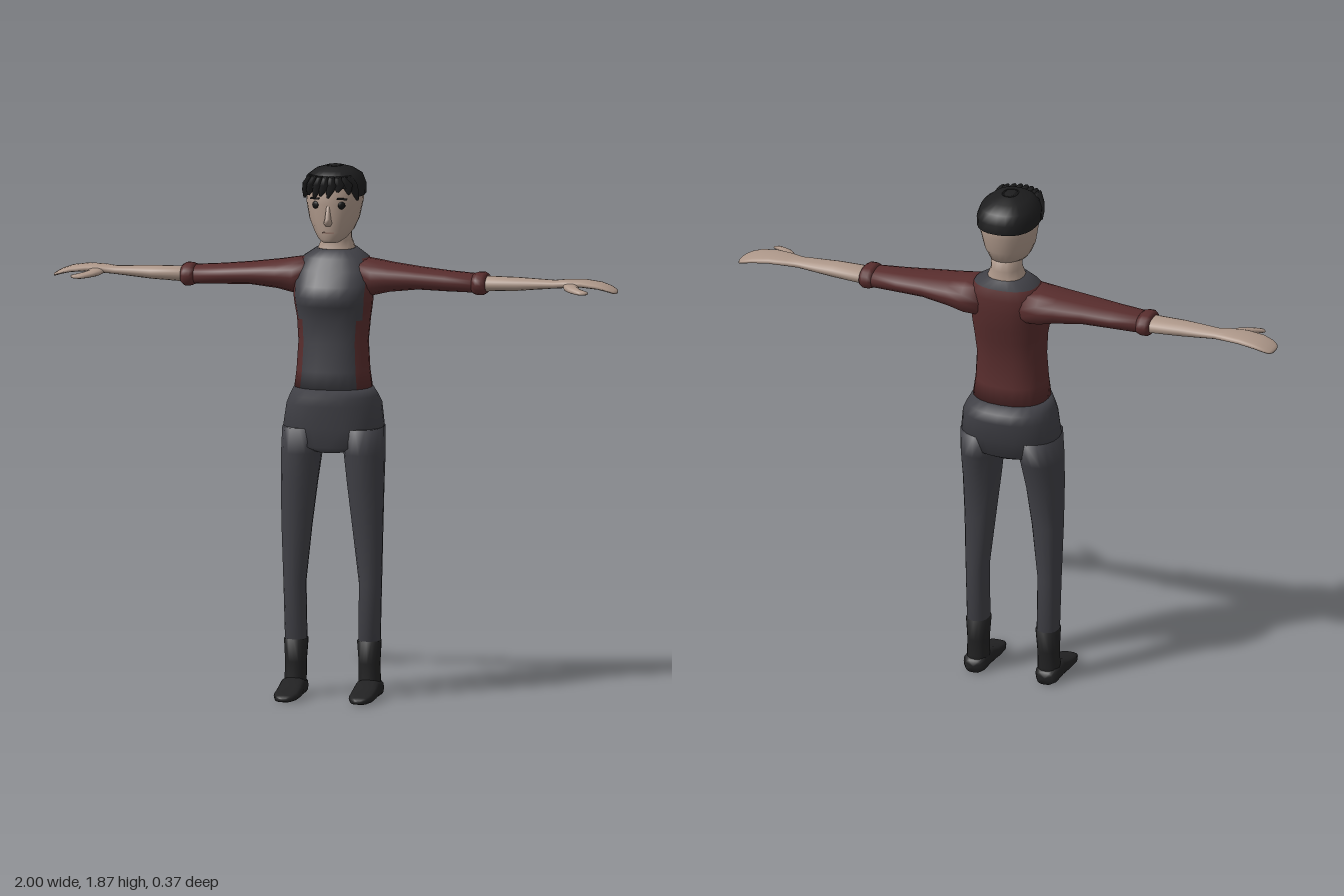
import * as THREE from 'three';

const mat = (name, color, side = THREE.FrontSide) => {
  const m = new THREE.MeshStandardMaterial({ color, side });
  m.name = name;
  return m;
};

// One closed ring across axis k (0 x, 1 y, 2 z); a and b are the ranges on the next two axes.
function ring(k, [t, a0, a1, b0, b1], n, p) {
  const pts = [];
  const pw = (v) => Math.sign(v) * Math.pow(Math.abs(v), p);
  for (let j = 0; j < n; j++) {
    const ang = (j / n) * Math.PI * 2;
    const v = [0, 0, 0];
    v[k] = t;
    v[(k + 1) % 3] = (a0 + a1) / 2 + pw(Math.cos(ang)) * (a1 - a0) / 2;
    v[(k + 2) % 3] = (b0 + b1) / 2 + pw(Math.sin(ang)) * (b1 - b0) / 2;
    pts.push(v);
  }
  return pts;
}

// Skin over a stack of rings; pick(row, angle) gives a material index, or -1 for a gap.
function loft(k, rows, { n = 16, p = 0.85, caps = true, pick = () => 0 } = {}) {
  const rings = rows.map((r) => ring(k, r, n, p));
  const pos = rings.flat(2);
  const faces = [[], []];
  for (let i = 0; i < rows.length - 1; i++) {
    for (let j = 0; j < n; j++) {
      const m = pick(i, Math.min(j + 0.5, n - j - 0.5) * 360 / n);
      if (m < 0) continue;
      const a = i * n + j, b = i * n + (j + 1) % n;
      faces[m].push(a, b, b + n, a, b + n, a + n);
    }
  }
  if (caps) {
    for (const end of [0, rows.length - 1]) {
      const c = [0, 1, 2].map((d) => rings[end].reduce((s, v) => s + v[d], 0) / n);
      const ci = pos.length / 3;
      pos.push(...c);
      for (let j = 0; j < n; j++) {
        const a = end * n + j, b = end * n + (j + 1) % n;
        faces[0].push(...(end === 0 ? [ci, b, a] : [ci, a, b]));
      }
    }
  }
  const g = new THREE.BufferGeometry();
  g.setAttribute('position', new THREE.Float32BufferAttribute(pos, 3));
  g.setIndex([...faces[0], ...faces[1]]);
  if (faces[1].length) {
    g.addGroup(0, faces[0].length, 0);
    g.addGroup(faces[0].length, faces[1].length, 1);
  }
  g.computeVertexNormals();
  return g;
}

// Mirrored copy across x = 0 with the winding restored.
function mirrored(g) {
  const m = g.clone();
  m.scale(-1, 1, 1);
  const ix = m.index.array;
  for (let i = 0; i < ix.length; i += 3) [ix[i], ix[i + 1]] = [ix[i + 1], ix[i]];
  m.computeVertexNormals();
  return m;
}

export function createModel() {
  const group = new THREE.Group();
  group.name = 'figure';
  const skin = mat('skin', 0xae988a);
  const lip = mat('lip', 0x8c7064);
  const cloth = mat('charcoalCloth', 0x404046);
  const maroon = mat('maroonCloth', 0x582d2d);
  const boot = mat('bootBlack', 0x222223);
  const hair = mat('hairBlack', 0x1d1d1e, THREE.DoubleSide);
  const dark = mat('eyeBlack', 0x121212);

  const add = (name, g, m) => {
    const mesh = new THREE.Mesh(g, m);
    mesh.name = name;
    group.add(mesh);
    return mesh;
  };
  const pair = (name, g, m) => {
    add(name + 'Left', g, m);
    add(name + 'Right', mirrored(g), m);
  };
  const sym = (rows) => rows.map(([y, zb, zf, w]) => [y, zb, zf, -w, w]);

  // Top: charcoal front panel and collar, maroon sides and back
  add('torso', loft(1, sym([
    [1.08, -0.145, 0.088, 0.137], [1.15, -0.132, 0.08, 0.128], [1.25, -0.13, 0.072, 0.122],
    [1.33, -0.145, 0.072, 0.128], [1.38, -0.157, 0.092, 0.135], [1.41, -0.162, 0.103, 0.138],
    [1.45, -0.168, 0.085, 0.14], [1.5, -0.17, 0.045, 0.138], [1.54, -0.163, 0.015, 0.115],
    [1.57, -0.15, -0.01, 0.07],
  ]), { n: 24, pick: (i, a) => (i > 7 || a < (i > 2 ? 60 : 45) ? 0 : 1) }), [cloth, maroon]);

  // Trousers
  add('hips', loft(1, sym([
    [0.865, -0.1, 0.06, 0.06], [0.885, -0.135, 0.08, 0.14], [0.95, -0.155, 0.085, 0.178],
    [1.03, -0.179, 0.095, 0.166], [1.06, -0.165, 0.092, 0.153], [1.09, -0.143, 0.088, 0.137],
  ]), { n: 24 }), cloth);
  pair('leg', loft(1, [
    [0.18, -0.062, 0.03, 0.092, 0.168], [0.4, -0.068, 0.04, 0.096, 0.173],
    [0.6, -0.07, 0.052, 0.073, 0.179], [0.75, -0.093, 0.068, 0.055, 0.181],
    [0.86, -0.126, 0.078, 0.042, 0.181], [0.95, -0.145, 0.08, 0.02, 0.178],
  ]), cloth);

  // Boots
  pair('bootShaft', loft(1, [
    [0.02, -0.056, 0.03, 0.094, 0.174], [0.06, -0.055, 0.028, 0.094, 0.17],
    [0.12, -0.058, 0.028, 0.094, 0.168], [0.2, -0.066, 0.034, 0.088, 0.172],
  ]), boot);
  pair('bootFoot', loft(2, [
    [-0.06, 0.105, 0.162, 0, 0.045], [-0.04, 0.092, 0.177, 0, 0.06], [0.03, 0.09, 0.177, 0, 0.065],
    [0.08, 0.088, 0.178, 0, 0.045], [0.14, 0.09, 0.177, 0, 0.032], [0.175, 0.103, 0.165, 0, 0.024],
    [0.187, 0.12, 0.15, 0.003, 0.016],
  ], { p: 0.65 }), boot);

  // Sleeves, cuffs, forearms and hands
  pair('sleeve', loft(0, [
    [0.07, 1.4, 1.545, -0.155, 0.02], [0.14, 1.408, 1.533, -0.164, 0.024],
    [0.2, 1.423, 1.523, -0.157, 0.022], [0.3, 1.435, 1.511, -0.14, 0.016],
    [0.4, 1.432, 1.502, -0.125, 0.007], [0.51, 1.43, 1.495, -0.113, -0.002],
  ]), maroon);
  pair('cuff', loft(0, [
    [0.495, 1.428, 1.497, -0.114, 0], [0.51, 1.422, 1.502, -0.119, 0.005],
    [0.53, 1.422, 1.502, -0.119, 0.005], [0.542, 1.43, 1.495, -0.112, -0.006],
  ]), maroon);
  pair('forearmAndHand', loft(0, [
    [0.53, 1.435, 1.488, -0.105, -0.014], [0.65, 1.441, 1.487, -0.1, -0.016],
    [0.78, 1.453, 1.481, -0.093, -0.027], [0.82, 1.456, 1.485, -0.104, -0.02],
    [0.88, 1.46, 1.486, -0.117, -0.014], [0.94, 1.455, 1.477, -0.122, -0.014],
    [0.975, 1.447, 1.464, -0.118, -0.018], [0.993, 1.441, 1.454, -0.108, -0.028],
    [1.0, 1.44, 1.449, -0.09, -0.045],
  ]), skin);
  pair('thumb', loft(2, [
    [-0.045, 0.81, 0.875, 1.455, 1.48], [0, 0.825, 0.873, 1.45, 1.474],
    [0.025, 0.845, 0.895, 1.448, 1.468], [0.042, 0.87, 0.922, 1.446, 1.463],
    [0.054, 0.888, 0.914, 1.448, 1.458],
  ], { n: 10 }), skin);

  // Neck and head
  add('neck', loft(1, sym([
    [1.54, -0.146, -0.008, 0.075], [1.575, -0.143, -0.016, 0.063],
    [1.6, -0.138, -0.022, 0.053], [1.66, -0.14, -0.02, 0.05],
  ])), skin);
  add('head', loft(1, sym([
    [1.603, -0.02, 0.052, 0.03], [1.615, -0.09, 0.062, 0.049], [1.64, -0.142, 0.064, 0.068],
    [1.68, -0.158, 0.066, 0.086], [1.74, -0.172, 0.067, 0.098], [1.79, -0.174, 0.065, 0.1],
    [1.83, -0.15, 0.045, 0.083], [1.85, -0.1, 0, 0.045],
  ]), { n: 24, p: 0.95 }), skin);

  // Face
  add('nose', loft(1, sym([
    [1.664, 0.045, 0.07, 0.01], [1.676, 0.045, 0.091, 0.015],
    [1.69, 0.045, 0.085, 0.011], [1.735, 0.045, 0.068, 0.007],
  ]), { n: 8 }), skin);
  add('mouth', new THREE.BoxGeometry(0.042, 0.005, 0.006).translate(0, 1.64, 0.061), lip);
  const eye = new THREE.SphereGeometry(0.013, 14, 10).scale(1, 1, 0.35).rotateY(0.4).translate(0.047, 1.737, 0.056);
  pair('eye', eye, dark);
  const brow = new THREE.BoxGeometry(0.036, 0.006, 0.008).rotateZ(-0.08).rotateY(0.4).translate(0.048, 1.76, 0.056);
  pair('brow', brow, hair);

  // Hair cap, open over the forehead
  add('hairCap', loft(1, sym([
    [1.762, -0.181, 0.07, 0.105], [1.797, -0.184, 0.074, 0.106], [1.83, -0.167, 0.066, 0.095],
    [1.852, -0.125, 0.035, 0.066], [1.864, -0.08, -0.01, 0.028],
  ]), { n: 24, caps: false, pick: (i, a) => (i === 0 && a < 60 ? -1 : 0) }), hair);
  add('hairCrown', loft(1, sym([[1.862, -0.085, -0.005, 0.032], [1.866, -0.07, -0.02, 0.015]])), hair);

  // Fringe locks: [root x, tip x, tip y], fuller on the right side
  const locks = [[-0.08, -0.095, 1.755], [-0.06, -0.075, 1.768], [-0.035, -0.05, 1.76],
    [-0.01, -0.025, 1.77], [0.015, 0.002, 1.765], [0.04, 0.035, 1.785],
    [0.065, 0.07, 1.775], [0.08, 0.094, 1.75]];
  const faceZ = (x) => -0.05 + 0.128 * Math.sqrt(1 - Math.pow(x / 0.108, 2));
  locks.forEach(([rx, tx, ty], i) => {
    const row = (y, x, w, d) => [y, faceZ(x) - d, faceZ(x) + d * 0.4, x - w, x + w];
    const mx = (rx + tx) / 2;
    add('fringeLock' + (i + 1), loft(1, [
      row(ty, tx, 0.004, 0.005), row((ty + 1.81) / 2, mx, 0.014, 0.014),
      row(1.81, rx, 0.018, 0.02), row(1.838, rx * 0.85, 0.01, 0.04),
    ], { n: 8 }), hair);
  });
  return group;
}
